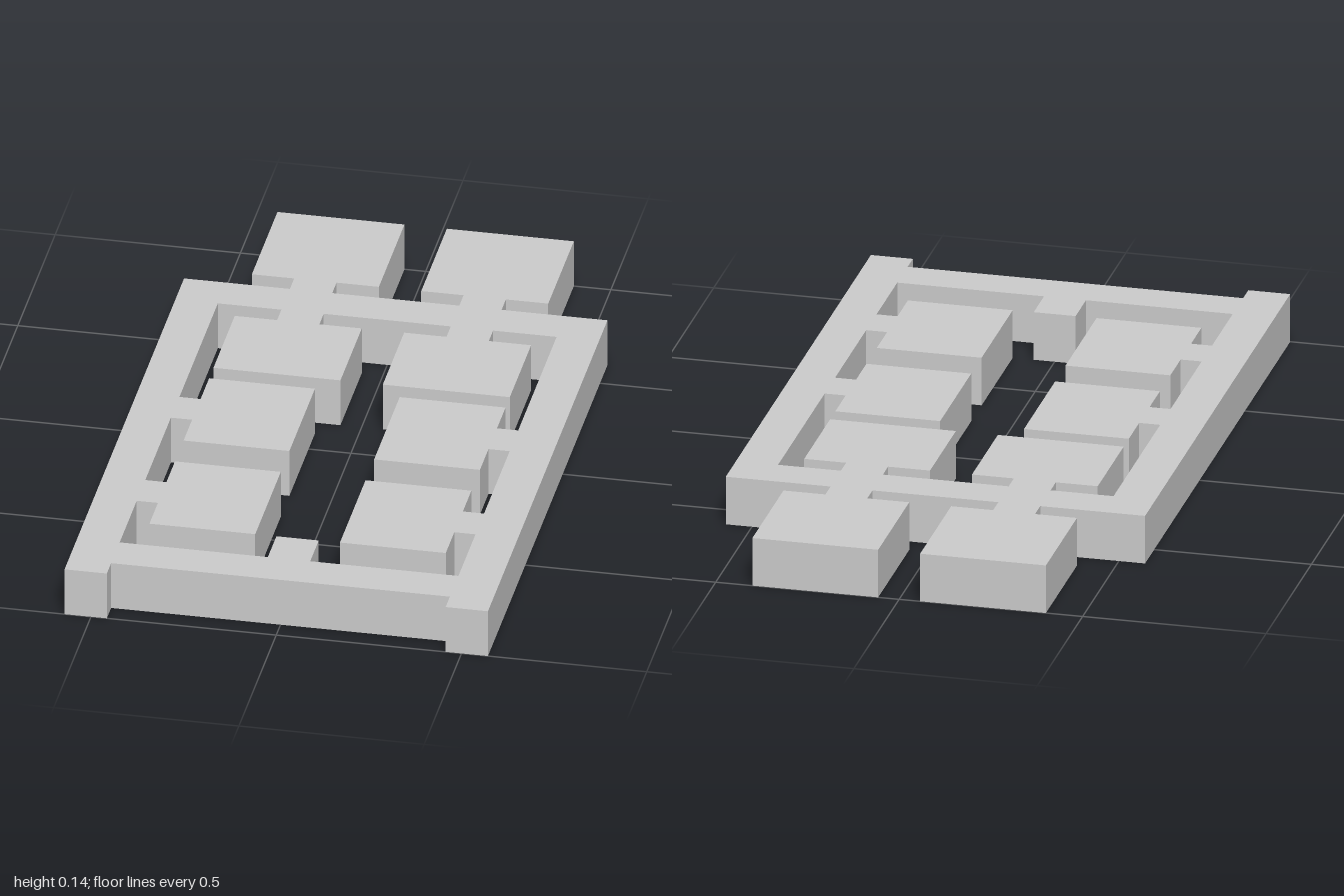
import * as THREE from 'three';

// The plan is laid out on a grid of 35 cells along the length (2 units).
const CELL = 2 / 35;
const HEIGHT = 0.136;

// Completes a symmetric outline from the points of its +x half, in order.
function mirrored(half) {
  const other = half.map(([x, z]) => [-x, z]).reverse();
  return [...half, ...other].map(([x, z]) => new THREE.Vector2(x * CELL, z * CELL));
}

// A square pad hanging inward from the side rail on a short tab, front to back.
function sidePad(front) {
  return [
    [8, front - 2], [7, front - 2], [7, front], [2, front],
    [2, front - 6], [7, front - 6], [7, front - 4], [8, front - 4],
  ];
}

export function createModel() {
  const group = new THREE.Group();
  group.name = 'paddedFrame';

  // Outside edge: back bar with two pads on necks, side rails ending in feet
  const outer = mirrored([
    [3, -10.5], [3, -11.5], [1, -11.5], [1, -17.5], [7, -17.5], [7, -11.5],
    [5, -11.5], [5, -10.5], [10, -10.5], [10, 17.5], [8, 17.5], [8, 16.5],
  ]);

  // Inside edge: centre stub, two side pads and one back pad per half
  const inner = mirrored([
    [1, 12.5], [1, 14.5], [8, 14.5],
    ...sidePad(12.5),
    ...sidePad(4.5),
    [8, -8.5], [5, -8.5], [5, -7.5], [7, -7.5], [7, -2.5],
    [1, -2.5], [1, -7.5], [3, -7.5], [3, -8.5],
  ]);

  const plan = new THREE.Shape(outer);
  plan.holes.push(new THREE.Path(inner));

  // Extrude the plan and lay it flat on the ground
  const geometry = new THREE.ExtrudeGeometry(plan, { depth: HEIGHT, bevelEnabled: false });
  geometry.rotateX(Math.PI / 2);
  geometry.translate(0, HEIGHT, 0);

  const frame = new THREE.Mesh(
    geometry,
    new THREE.MeshStandardMaterial({ color: 0xcccccc, flatShading: true })
  );
  frame.name = 'frameWithPads';
  group.add(frame);
  return group;
}
